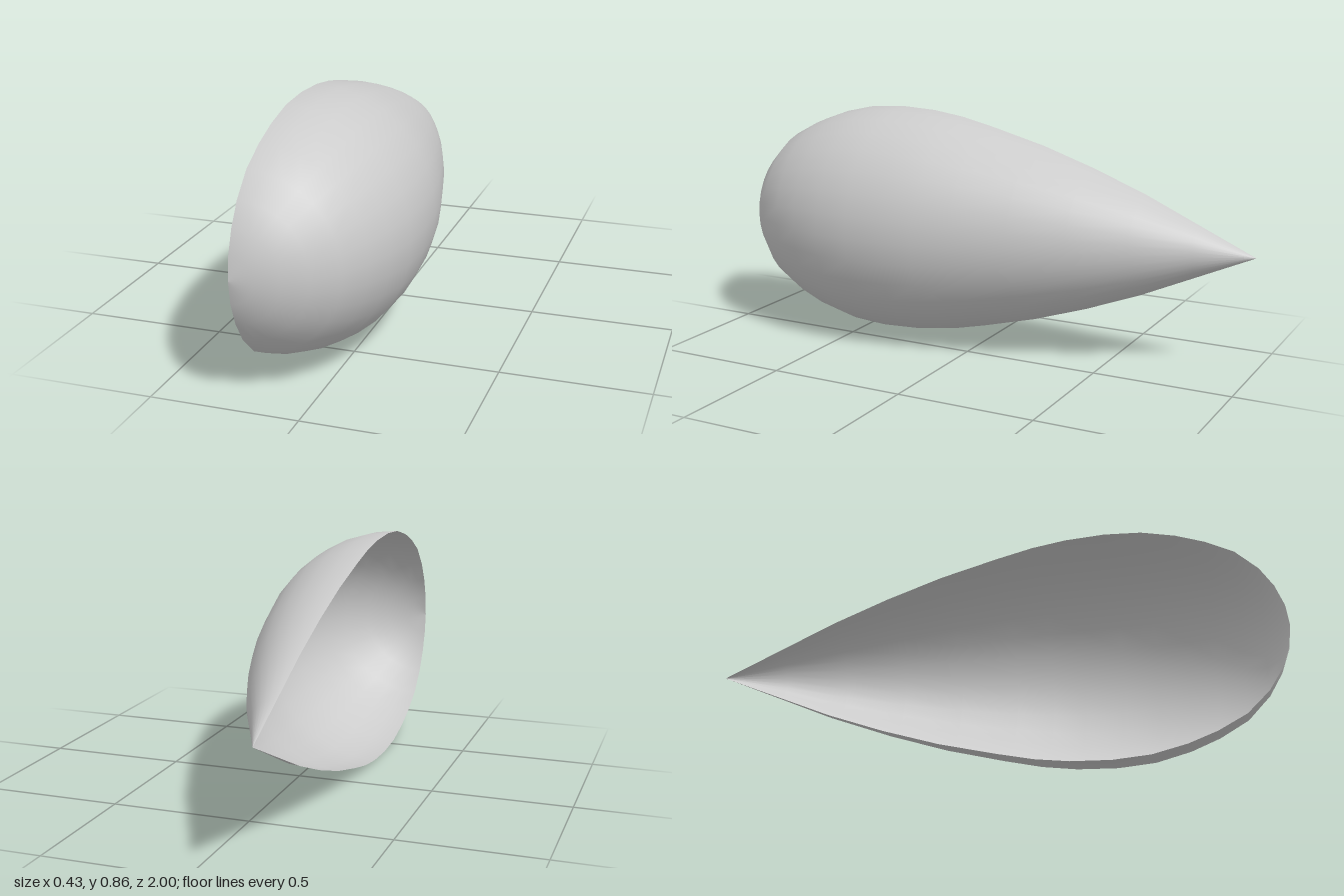
import * as THREE from 'three';

export function createModel() {
  const group = new THREE.Group();
  const R = 0.4285;

  // Teardrop profile [radius, position along the axis], from pointed tail to round nose
  const profile = [
    [0, -1], [0.09, -0.8], [0.18, -0.6], [0.257, -0.4], [0.323, -0.2], [0.375, 0],
    [0.405, 0.13], [0.422, 0.25], [R, 0.39], [0.42, 0.52], [0.392, 0.64],
    [0.355, 0.74], [0.303, 0.838], [0.228, 0.915], [0.155, 0.961], [0.078, 0.99], [0, 1],
  ].map(([r, z]) => new THREE.Vector2(r, z));

  // Half turn only: an open shell whose rim lies in one upright plane
  const geometry = new THREE.LatheGeometry(profile, 16, 0, Math.PI);
  geometry.rotateX(Math.PI / 2);
  geometry.translate(-R / 2, R, 0);

  const material = new THREE.MeshStandardMaterial({ color: 0xcccccc, side: THREE.DoubleSide });
  const shell = new THREE.Mesh(geometry, material);
  shell.name = 'halfTeardropShell';
  group.add(shell);
  return group;
}
